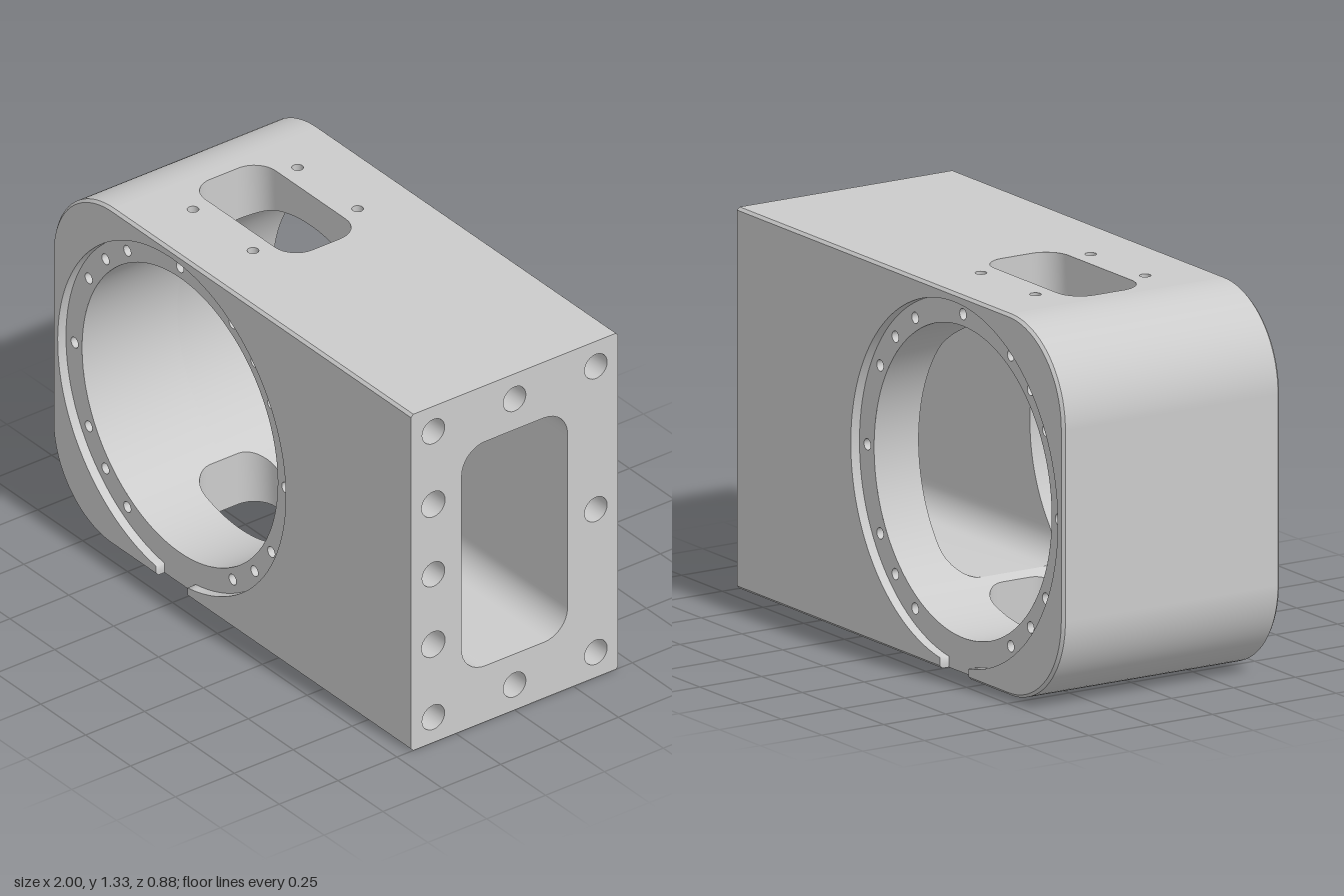
import * as THREE from 'three';
import { mergeGeometries } from 'three/addons/utils/BufferGeometryUtils.js';

const H = 1.334, ZH = 0.44, C = 0.01;            // height, half depth, edge chamfer
const CX = -0.333, CY = H / 2, R = 0.545;        // main bore
const RC = 0.635, ZF = ZH - 0.035;               // counterbore radius and floor
const CORNER = 0.333, XL = -1 + CORNER;          // rounded end
const N0 = CX - 0.087, N1 = CX + 0.087;          // notch in the counterbore rim
const mat = new THREE.MeshStandardMaterial({ color: 0xcccccc, side: THREE.DoubleSide });

function add(parent, name, geo) {
  const mesh = new THREE.Mesh(geo, mat);
  mesh.name = name;
  parent.add(mesh);
  return mesh;
}

// Smooth ribbon between two equally long rows of points
function ribbon(a, b) {
  const n = a.length, index = [];
  for (let i = 0; i < n - 1; i++) index.push(i, i + 1, n + i, i + 1, n + i + 1, n + i);
  const geo = new THREE.BufferGeometry();
  geo.setAttribute('position', new THREE.Float32BufferAttribute([...a, ...b].flat(), 3));
  geo.setIndex(index);
  geo.computeVertexNormals();
  return geo;
}

// Flat face with holes, placed in space by map(u, v)
function face(outline, holes, map) {
  const vec = (pts) => pts.map(([u, v]) => new THREE.Vector2(u, v));
  const shape = new THREE.Shape(vec(outline));
  shape.holes = holes.map((h) => new THREE.Path(vec(h)));
  const geo = new THREE.ShapeGeometry(shape), p = geo.attributes.position;
  for (let i = 0; i < p.count; i++) p.setXYZ(i, ...map(p.getX(i), p.getY(i)));
  geo.computeVertexNormals();
  return geo;
}

function arc(cx, cy, r, from, to, n) {
  return Array.from({ length: n + 1 }, (_, i) => {
    const t = from + ((to - from) * i) / n;
    return [cx + r * Math.cos(t), cy + r * Math.sin(t)];
  });
}
const circle = (u, v, r, n = 24) => arc(u, v, r, 0, Math.PI * 2, n).slice(0, -1);

// Blind drilled hole with a conical bottom; its mouth faces dir
function drill(parent, name, pos, dir, r, depth) {
  const lathe = (...p) => new THREE.LatheGeometry(p.map(([x, y]) => new THREE.Vector2(x, y)), 24);
  const mesh = add(parent, name, mergeGeometries([
    lathe([r, 0], [r, -depth]),
    lathe([r, -depth], [0, -depth - r * 0.6]),
  ]));
  mesh.position.set(...pos);
  mesh.quaternion.setFromUnitVectors(new THREE.Vector3(0, 1, 0), new THREE.Vector3(...dir));
}

// Half outline of a rounded rectangle as [u, halfWidth] from u = -a to a
function halfWindow(a, b, r) {
  const start = [];
  for (let i = 0; i <= 8; i++) {
    const t = (i / 8) * Math.PI / 2;
    start.push([-(a - r) - r * Math.cos(t), b - r + r * Math.sin(t)]);
  }
  const flat = [];
  for (let i = 1; i < 24; i++) flat.push([(a - r) * (i / 12 - 1), b]);
  return [...start, ...flat, ...start.map(([u, w]) => [-u, w]).reverse()];
}
const fullWindow = (half) => [...half, ...half.map(([u, w]) => [u, -w]).reverse()];

// Outer profile, inset by c, from the top right corner round to the notch
function profile(c) {
  return [
    [1, H - c],
    ...arc(XL, H - CORNER, CORNER - c, Math.PI / 2, Math.PI, 20),
    ...arc(XL, CORNER, CORNER - c, Math.PI, Math.PI * 1.5, 20),
    [N0, c],
  ];
}

export function createModel() {
  const model = new THREE.Group();
  model.name = 'housing';

  const sideHalf = halfWindow(0.445, 0.225, 0.1);
  const topHalf = halfWindow(0.285, 0.15, 0.09);
  const windows = [
    { name: 'sideWindow', angle: 0, half: sideHalf, reach: 1 - CX },
    { name: 'topWindow', angle: Math.PI / 2, half: topHalf, reach: H - CY },
    { name: 'bottomWindow', angle: Math.PI * 1.5, half: topHalf, reach: CY },
  ];

  // Window tunnels, running from the outer faces into the bore
  for (const { name, angle, half, reach } of windows) {
    const loop = fullWindow(half);
    loop.push(loop[0]);
    const tunnel = add(model, name, ribbon(
      loop.map(([u, v]) => [Math.sqrt(R * R - u * u), u, v]),
      loop.map(([u, v]) => [reach, u, v])));
    tunnel.position.set(CX, CY, 0);
    tunnel.rotation.z = angle;
  }

  // Bore wall: at each angle it spans from the window edge to the counterbore floor
  const steps = [];
  windows.forEach(({ angle, half }, i) => {
    const rows = half.map(([u, w]) => [angle + Math.asin(u / R), w]);
    const next = windows[(i + 1) % 3];
    const end = next.angle + (i === 2 ? Math.PI * 2 : 0) + Math.asin(next.half[0][0] / R);
    const from = rows[rows.length - 1][0];
    const count = Math.max(2, Math.ceil((end - from) / 0.06));
    steps.push(...rows);
    for (let k = 0; k <= count; k++) steps.push([from + ((end - from) * k) / count, 0]);
  });
  const boreRow = (zOf) => steps.map(([t, w]) => [CX + R * Math.cos(t), CY + R * Math.sin(t), zOf(w)]);
  add(model, 'boreFront', ribbon(boreRow(() => ZF), boreRow((w) => w)));
  add(model, 'boreBack', ribbon(boreRow((w) => -w), boreRow(() => -ZF)));

  // Front and back ends, mirrored
  const half = (N1 - N0) / 2, a0 = Math.asin(half / RC);
  const rim = arc(CX, CY, RC, Math.PI * 1.5 - a0, -Math.PI / 2 + a0, 112);
  const screwAngles = [0, 30, 45, 60, 90, 120, 135, 150, 180, 210, 225, 240, 300, 315, 330];
  const screws = screwAngles.map((d) => {
    const t = THREE.MathUtils.degToRad(d);
    return [CX + 0.587 * Math.cos(t), CY + 0.587 * Math.sin(t)];
  });
  for (const side of [1, -1]) {
    const end = new THREE.Group();
    end.name = side > 0 ? 'frontEnd' : 'backEnd';
    end.scale.z = side;
    model.add(end);
    const at = (z) => ([x, y]) => [x, y, z];

    add(end, 'endFace', face([...profile(C), ...rim, [N1, C], [1, C]], [], (x, y) => [x, y, ZH]));
    add(end, 'edgeChamfer', ribbon(profile(0).map(at(ZH - C)), profile(C).map(at(ZH))));
    add(end, 'lowerChamfer', ribbon([[N1, 0, ZH - C], [1, 0, ZH - C]], [[N1, C, ZH], [1, C, ZH]]));

    // Recessed flange with its screw circle
    add(end, 'flange', face([[N0, 0], ...rim, [N1, 0]],
      [circle(CX, CY, R, 128), ...screws.map(([x, y]) => circle(x, y, 0.02))],
      (x, y) => [x, y, ZF]));
    const wall = [[N0, 0], [N0, C], ...rim, [N1, C], [N1, 0]];
    add(end, 'flangeWall', ribbon(wall.map(at(ZF)),
      wall.map(([x, y]) => [x, y, y === 0 ? ZH - C : ZH])));
    for (const [x, y] of screws) drill(end, 'flangeScrewHole', [x, y, ZF], [0, 0, 1], 0.02, 0.08);
  }

  // Rounded end
  const zb = ZH - C, bend = profile(0).slice(1, -1);
  add(model, 'roundedEnd', ribbon(bend.map(([x, y]) => [x, y, -zb]), bend.map(([x, y]) => [x, y, zb])));

  // Top and bottom faces with cover screw holes
  const cover = [];
  for (const x of [CX - 0.167, CX + 0.167]) for (const z of [-0.222, 0.222]) cover.push([x, z]);
  const slot = fullWindow(topHalf).map(([u, v]) => [CX + u, v]);
  const holes = [slot, ...cover.map(([x, z]) => circle(x, z, 0.02))];
  const swap = (pts) => pts.map(([u, v]) => [v, u]);
  add(model, 'topFace', face(swap([[XL, -zb], [1, -zb], [1, zb], [XL, zb]]), holes.map(swap),
    (z, x) => [x, H, z]));
  const edge = [[XL, zb], [N0, zb], [N0, ZF], [N1, ZF], [N1, zb], [1, zb]];
  add(model, 'bottomFace', face([...edge, ...edge.map(([x, z]) => [x, -z]).reverse()], holes,
    (x, z) => [x, 0, z]));
  for (const [x, z] of cover) {
    drill(model, 'topScrewHole', [x, H, z], [0, 1, 0], 0.02, 0.08);
    drill(model, 'bottomScrewHole', [x, 0, z], [0, -1, 0], 0.02, 0.08);
  }

  // Mounting face with bolt holes
  const bolts = [];
  for (const y of [0.1, CY, H - 0.1]) for (const z of [-0.345, 0.345]) bolts.push([y, z, 0.048, 0.15]);
  for (const y of [0.1, H - 0.1]) bolts.push([y, 0, 0.048, 0.15]);
  for (const y of [CY - 0.278, CY + 0.278]) bolts.push([y, 0.345, 0.05, 0.22]);
  const mount = [[C, -ZH], [H - C, -ZH], [H, -zb], [H, zb], [H - C, ZH], [C, ZH], [0, zb], [0, -zb]];
  add(model, 'mountingFace', face(mount,
    [fullWindow(sideHalf).map(([u, v]) => [CY + u, v]), ...bolts.map(([y, z, r]) => circle(y, z, r))],
    (y, z) => [1, y, z]));
  for (const [y, z, r, depth] of bolts) drill(model, 'boltHole', [1, y, z], [1, 0, 0], r, depth);

  return model;
}
